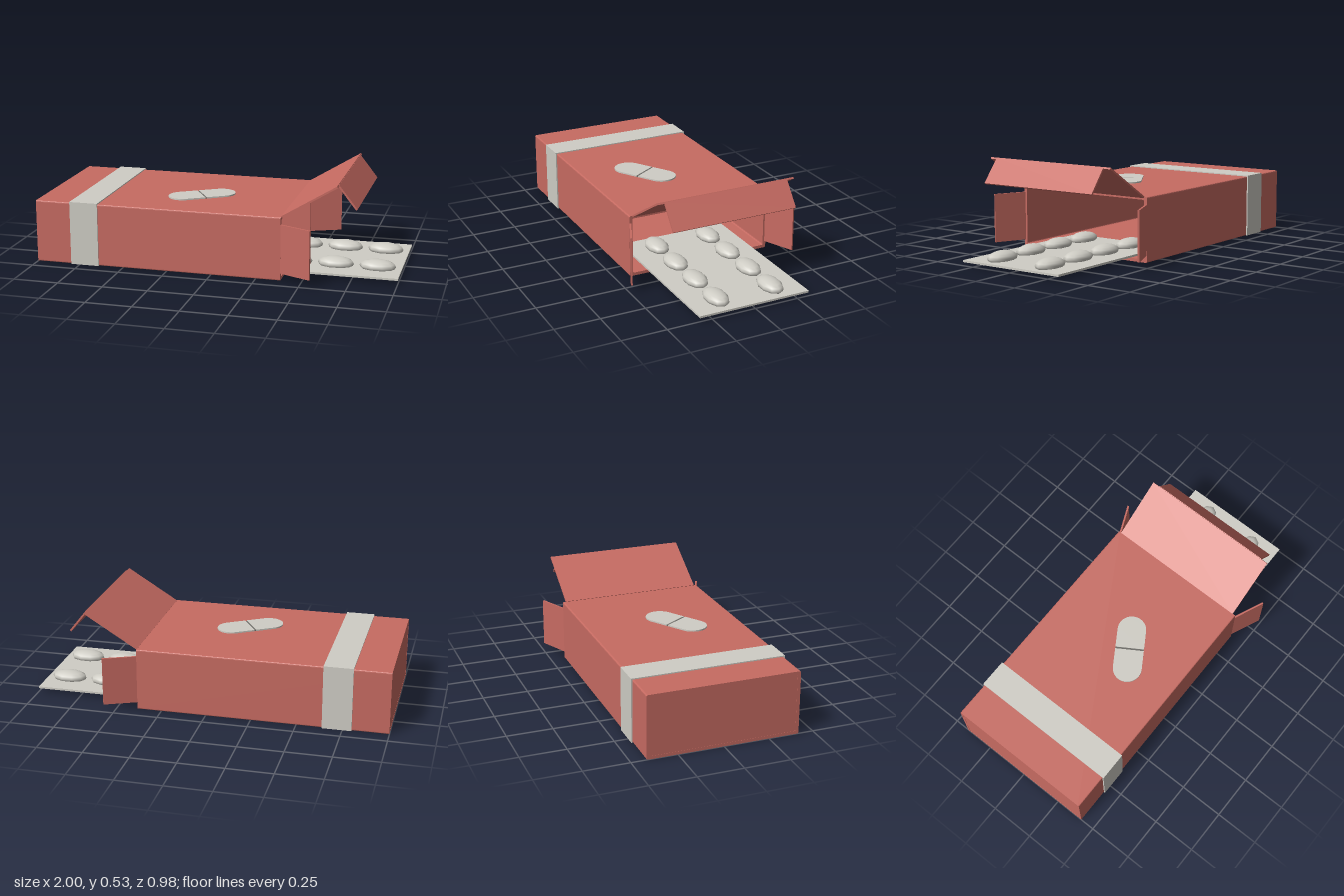
import * as THREE from 'three';

export function createModel() {
  const model = new THREE.Group();
  const red = new THREE.MeshStandardMaterial({ name: 'red card', color: 0xc76b62 });
  const grey = new THREE.MeshStandardMaterial({ name: 'pale grey', color: 0xcfcdc5 });
  const dark = new THREE.MeshStandardMaterial({ name: 'dark grey', color: 0x6a6964 });

  const add = (name, geometry, material, x = 0, y = 0, z = 0, parent = model) => {
    const mesh = new THREE.Mesh(geometry, material);
    mesh.name = name;
    mesh.position.set(x, y, z);
    parent.add(mesh);
    return mesh;
  };
  const box = (w, h, d) => new THREE.BoxGeometry(w, h, d);

  // Rectangle with slightly rounded corners, centred on x
  const roundRect = (path, w, y0, y1, r) => {
    const a = w / 2;
    path.moveTo(-a + r, y0);
    path.lineTo(a - r, y0);
    path.quadraticCurveTo(a, y0, a, y0 + r);
    path.lineTo(a, y1 - r);
    path.quadraticCurveTo(a, y1, a - r, y1);
    path.lineTo(-a + r, y1);
    path.quadraticCurveTo(-a, y1, -a, y1 - r);
    path.lineTo(-a, y0 + r);
    path.quadraticCurveTo(-a, y0, -a + r, y0);
    return path;
  };

  // Carton: hollow sleeve open at +x, closed at -x
  const sleeve = roundRect(new THREE.Shape(), 0.836, 0, 0.35, 0.008);
  sleeve.holes.push(roundRect(new THREE.Path(), 0.8, 0.017, 0.334, 0.008));
  const sleeveGeo = new THREE.ExtrudeGeometry(sleeve, { depth: 1.385, bevelEnabled: false, curveSegments: 3 });
  add('cartonSleeve', sleeveGeo.rotateY(Math.PI / 2), red, -1, 0, 0);
  add('cartonEnd', box(0.016, 0.33, 0.81), red, -0.991, 0.175, 0);

  // Lid and tuck flap: plates along a slanted line in the side profile
  const slant = (name, x0, y0, x1, y1, width) => {
    const plate = add(name, box(Math.hypot(x1 - x0, y1 - y0), 0.01, width), red, (x0 + x1) / 2, (y0 + y1) / 2, 0);
    plate.rotation.z = Math.atan2(y1 - y0, x1 - x0);
  };
  slant('lid', 0.385, 0.348, 0.68, 0.529, 0.8);
  slant('tuckFlap', 0.678, 0.529, 0.778, 0.403, 0.715);

  // Side flaps splayed outward, and the band down each side
  for (const side of [1, -1]) {
    const flap = add(side > 0 ? 'frontFlap' : 'backFlap', box(0.187, 0.27, 0.01), red, 0.472, 0.175, side * 0.45);
    flap.rotation.y = -side * Math.atan2(0.075, 0.172);
    add('bandSide', box(0.16, 0.356, 0.007), grey, -0.72, 0.178, side * 0.4215);
  }
  add('bandTop', box(0.16, 0.007, 0.85), grey, -0.72, 0.3525, 0);

  // Capsule emblem on top, made of two halves with a dark seam
  const emblem = new THREE.Group();
  emblem.name = 'capsuleEmblem';
  emblem.position.set(-0.14, 0.349, 0.078);
  emblem.rotation.y = THREE.MathUtils.degToRad(32);
  const half = new THREE.Shape();
  half.moveTo(0.005, -0.08);
  half.lineTo(0.112, -0.08);
  half.absarc(0.112, 0, 0.08, -Math.PI / 2, Math.PI / 2, false);
  half.lineTo(0.005, 0.08);
  half.closePath();
  const halfGeo = new THREE.ExtrudeGeometry(half, { depth: 0.009, bevelEnabled: false, curveSegments: 16 });
  halfGeo.rotateX(-Math.PI / 2);
  for (const turn of [0, Math.PI]) {
    add('capsuleHalf', halfGeo, grey, 0, 0, 0, emblem).rotation.y = turn;
  }
  add('capsuleSeam', box(0.01, 0.006, 0.158), dark, 0, 0.003, 0, emblem);
  model.add(emblem);

  // Blister tray sliding out, with two rows of tablets
  add('blisterTray', box(0.95, 0.011, 0.635), grey, 0.525, 0.0245, 0);
  const tablet = new THREE.SphereGeometry(1, 10, 8).scale(0.1, 0.036, 0.06);
  for (let i = 0; i < 4; i++) {
    for (const z of [-0.16, 0.16]) add('tablet', tablet, grey, 0.87 - i * 0.23, 0.043, z);
  }
  return model;
}
